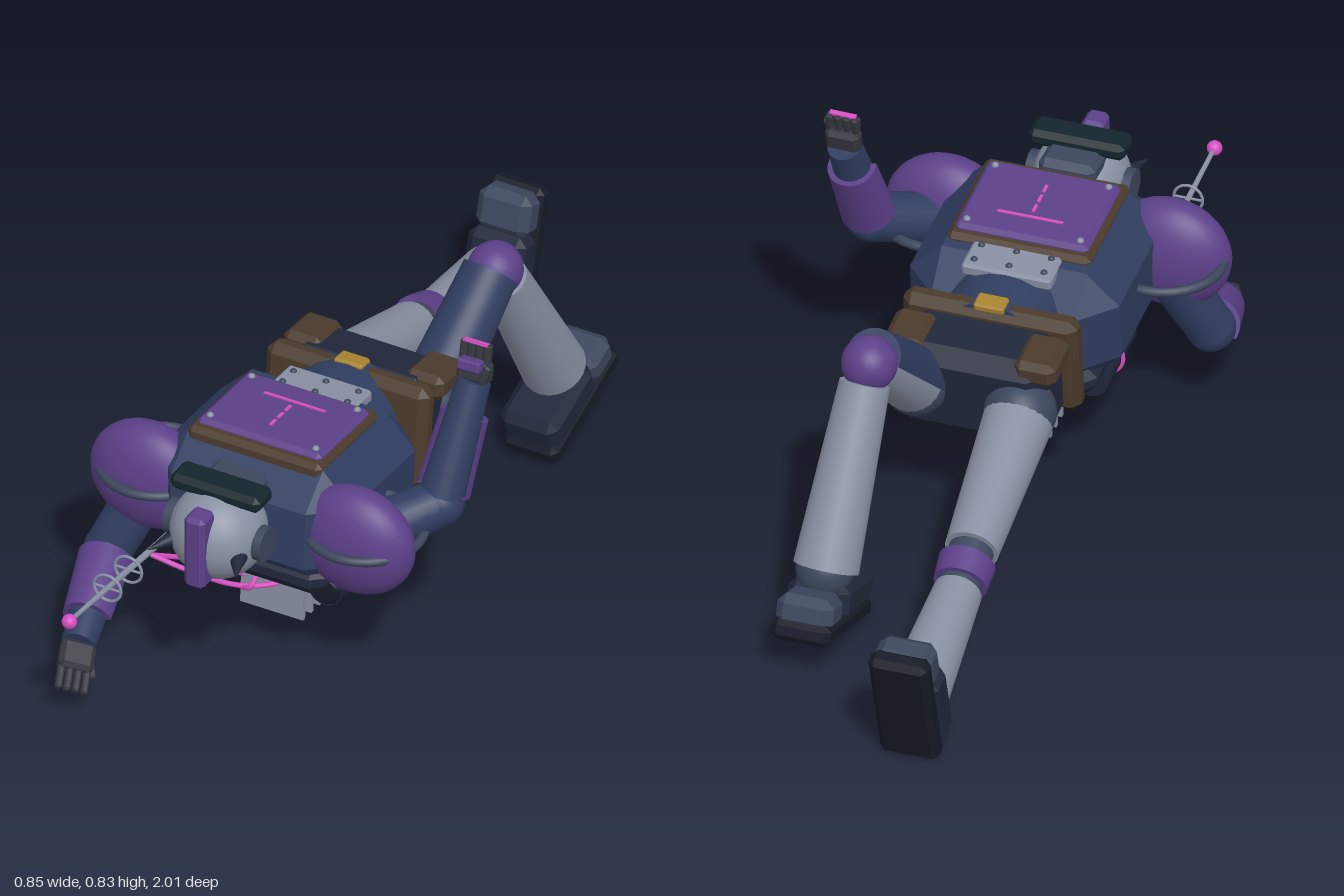
import * as THREE from 'three';
import { ConvexGeometry } from 'three/addons/geometries/ConvexGeometry.js';

const C = { navy: 0x303d60, dark: 0x20273a, black: 0x151a26, steel: 0x878fa1, slate: 0x3c465c, purple: 0x5b4088,
  pink: 0xd64fc0, brown: 0x4a3a2b, gold: 0xa8822f, hand: 0x34373f, visor: 0x14252c };
const V = (a) => new THREE.Vector3(...a);

export function createModel() {
  const root = new THREE.Group();
  const mats = {};
  const mat = (c, flat) => (mats[c + (flat ? 'f' : '')] ??= new THREE.MeshStandardMaterial({
    color: C[c], flatShading: !!flat, side: THREE.DoubleSide }));
  const group = (name, parent = root) => {
    const g = new THREE.Group();
    g.name = name;
    parent.add(g);
    return g;
  };
  const add = (name, geo, color, pos, parent = root, flat = false) => {
    const m = new THREE.Mesh(geo, mat(color, flat));
    m.name = name;
    m.position.set(...pos);
    parent.add(m);
    return m;
  };
  // Box with every edge cut at 45 degrees
  const block = (name, size, c, color, pos, parent = root, pitch = 0) => {
    const h = size.map((s) => s / 2), pts = [];
    for (const sx of [-1, 1]) for (const sy of [-1, 1]) for (const sz of [-1, 1])
      for (let a = 0; a < 3; a++) {
        const p = h.map((v, i) => (i === a ? v : v - c));
        pts.push(new THREE.Vector3(p[0] * sx, p[1] * sy, p[2] * sz));
      }
    const m = add(name, new ConvexGeometry(pts), color, pos, parent, true);
    m.rotation.x = pitch;
    return m;
  };
  // Tapered rod between two points; arc < 2 PI makes a shell that faces the hint
  const limb = (name, a, b, ra, rb, color, parent = root, hint = [0, 0, 1], arc = Math.PI * 2) => {
    const A = V(a), B = V(b), y = B.clone().sub(A), len = y.length();
    y.normalize();
    const x = new THREE.Vector3().crossVectors(y, V(hint));
    if (x.lengthSq() < 1e-4) x.crossVectors(y, new THREE.Vector3(0, 1, 0));
    x.normalize();
    const z = new THREE.Vector3().crossVectors(x, y);
    const m = add(name, new THREE.CylinderGeometry(rb, ra, len, 24, 1, false, -arc / 2, arc), color,
      A.add(B).multiplyScalar(0.5).toArray(), parent);
    m.quaternion.setFromRotationMatrix(new THREE.Matrix4().makeBasis(x, y, z));
    return m;
  };
  const ball = (name, r, color, pos, parent = root) =>
    add(name, new THREE.SphereGeometry(r, 28, 20), color, pos, parent);
  const ring = (name, r, t, color, pos, parent = root) =>
    add(name, new THREE.TorusGeometry(r, t, 8, 36), color, pos, parent);
  const tube = (name, pts, r, parent = root) =>
    add(name, new THREE.TubeGeometry(new THREE.CatmullRomCurve3(pts.map(V)), 32, r, 8), 'pink', [0, 0, 0], parent);

  // Torso, lying on its back with the head end slightly raised
  const torso = group('torso');
  torso.position.set(-0.024, 0.425, 0.34);
  torso.rotation.x = -0.09;
  block('chest', [0.48, 0.29, 0.44], 0.075, 'navy', [0, 0, 0.01], torso);
  block('chestBack', [0.4, 0.08, 0.42], 0.03, 'dark', [0, -0.115, 0], torso);
  limb('waist', [0, 0, -0.3], [0, 0, -0.17], 0.145, 0.145, 'navy', torso);
  block('chestFrame', [0.33, 0.04, 0.28], 0.012, 'brown', [0, 0.14, 0.03], torso);
  block('chestPlate', [0.305, 0.04, 0.235], 0.01, 'purple', [0, 0.153, 0.03], torso);
  for (const x of [-0.13, 0.13]) for (const z of [-0.065, 0.125])
    ball('plateRivet', 0.008, 'steel', [x, 0.173, z], torso);
  add('plateCrossLine', new THREE.BoxGeometry(0.15, 0.004, 0.007), 'pink', [0, 0.174, -0.02], torso);
  for (let i = 0; i < 3; i++)
    add('plateDash', new THREE.BoxGeometry(0.007, 0.004, 0.024), 'pink', [0, 0.174, 0.01 + i * 0.035], torso);
  block('abdomenPlate', [0.205, 0.03, 0.11], 0.006, 'steel', [0, 0.136, -0.135], torso);
  for (const x of [-0.08, 0, 0.08]) for (const z of [-0.165, -0.115])
    ball('abdomenRivet', 0.008, 'slate', [x, 0.15, z], torso);

  // Back equipment: cooling fins and a pair of pods
  const back = group('backPack');
  block('finMount', [0.3, 0.04, 0.25], 0.008, 'steel', [-0.022, 0.277, 0.33], back, -0.09);
  for (let i = 0; i < 6; i++) {
    const fin = add('coolingFin', new THREE.BoxGeometry(0.155, 0.18, 0.01), 'steel',
      [-0.024, 0.195 - i * 0.003, 0.4 - i * 0.037], back);
    fin.rotation.x = -0.06;
  }
  for (const x of [-0.176, 0.128]) {
    limb('pod', [x, 0.232, 0.255], [x, 0.243, 0.45], 0.042, 0.042, 'dark', back);
    limb('podCap', [x, 0.243, 0.45], [x, 0.243, 0.46], 0.04, 0.033, 'black', back);
    ring('podRing', 0.044, 0.006, 'pink', [x, 0.238, 0.35], back);
  }

  // Pelvis and belt
  const hips = group('hips');
  hips.position.set(-0.024, 0.4, 0);
  hips.rotation.x = -0.12;
  block('pelvis', [0.34, 0.23, 0.17], 0.035, 'dark', [0, 0, -0.03], hips);
  block('belt', [0.4, 0.25, 0.06], 0.02, 'brown', [0, 0.005, 0.062], hips);
  block('buckle', [0.07, 0.02, 0.045], 0.005, 'gold', [0, 0.132, 0.06], hips);
  for (const s of [-1, 1]) block('pouch', [0.095, 0.06, 0.12], 0.015, 'brown', [s * 0.15, 0.095, -0.045], hips);

  // Head with visor, crest, ear discs and horns
  const head = group('head');
  head.position.set(-0.024, 0.477, 0.65);
  limb('neck', [0, -0.01, -0.12], [0, 0, -0.05], 0.07, 0.07, 'slate', head);
  ball('skull', 0.108, 'steel', [0, 0, 0], head);
  block('crest', [0.05, 0.185, 0.06], 0.01, 'purple', [0, 0.008, 0.09], head);
  block('visor', [0.22, 0.04, 0.075], 0.012, 'visor', [0, 0.107, -0.01], head);
  block('faceGuard', [0.13, 0.05, 0.11], 0.015, 'slate', [0, 0.08, -0.06], head);
  for (const s of [-1, 1]) {
    limb('earDisc', [s * 0.09, 0, 0], [s * 0.12, 0, 0], 0.04, 0.04, 'slate', head);
    limb('horn', [s * 0.075, -0.012, 0.05], [s * 0.108, -0.012, 0.125], 0.022, 0.001, 'dark', head);
  }

  // Shoulder domes with hoops
  for (const s of [-1, 1]) {
    const g = group(s > 0 ? 'leftShoulder' : 'rightShoulder');
    g.position.set(-0.024 + s * 0.255, 0.44, 0.48);
    ball('shoulderDome', 1, 'purple', [0, 0, 0.015], g).scale.set(0.14, 0.132, 0.078);
    ring('shoulderHoop', 0.13, 0.011, 'slate', [0, 0.006, -0.025], g).rotation.x = Math.PI / 2;
  }

  // Arms: shoulder, elbow, wrist, fingertips
  const arm = (name, sh, el, wr, tip, shellSide) => {
    const g = group(name);
    const at = (a, b, t) => V(a).lerp(V(b), t).toArray();
    limb('upperArm', sh, el, 0.058, 0.054, 'navy', g);
    ball('elbow', 0.055, 'navy', el, g);
    limb('forearm', el, wr, 0.052, 0.038, 'navy', g);
    limb('forearmGuard', at(el, wr, 0.1), at(el, wr, 0.72), 0.061, 0.054, 'purple', g, shellSide, Math.PI * 1.15);
    const hand = group('hand', g);
    hand.position.set(...wr);
    const dir = V(tip).sub(V(wr)), len = dir.length();
    hand.quaternion.setFromUnitVectors(new THREE.Vector3(0, 1, 0), dir.normalize());
    block('palm', [0.078, len * 0.6, 0.04], 0.01, 'hand', [0, len * 0.27, 0], hand);
    for (let i = 0; i < 4; i++)
      block('finger', [0.016, len * 0.5, 0.02], 0.004, 'hand', [-0.029 + i * 0.0193, len * 0.75, 0.004], hand);
    block('thumb', [0.018, len * 0.5, 0.02], 0.004, 'hand', [0.038, len * 0.32, 0.025], hand).rotation.z = -0.3;
    return hand;
  };
  arm('rightArm', [-0.29, 0.4, 0.47], [-0.36, 0.235, 0.53], [-0.308, 0.145, 0.765], [-0.275, 0.092, 0.86], [-0.3, 1, 0]);
  const grip = arm('leftArm', [0.25, 0.44, 0.45], [0.355, 0.485, 0.345], [0.376, 0.745, 0.228], [0.374, 0.835, 0.205], [0, 0, -1]);
  block('gripBlock', [0.055, 0.026, 0.03], 0.004, 'purple', [0, 0.045, 0.026], grip);
  add('gripStrip', new THREE.BoxGeometry(0.06, 0.006, 0.012), 'pink', [0, 0.092, 0.008], grip);

  // Boot: long axis along y with toe up, sole facing -z
  const boot = (parent, pos, pitch) => {
    const g = group('boot', parent);
    g.position.set(...pos);
    g.rotation.x = pitch;
    block('bootSole', [0.135, 0.31, 0.05], 0.014, 'black', [0, 0, -0.032], g);
    block('bootUpper', [0.142, 0.2, 0.085], 0.02, 'dark', [0, -0.045, 0.018], g);
    block('toeCap', [0.13, 0.1, 0.075], 0.02, 'slate', [0, 0.098, 0.01], g);
  };

  // Straight right leg
  const rightLeg = group('rightLeg');
  ball('hipJoint', 0.08, 'slate', [-0.14, 0.375, -0.1], rightLeg);
  limb('thigh', [-0.14, 0.37, -0.1], [-0.155, 0.255, -0.47], 0.078, 0.06, 'steel', rightLeg);
  limb('kneeSleeve', [-0.155, 0.255, -0.47], [-0.16, 0.215, -0.58], 0.05, 0.05, 'slate', rightLeg);
  limb('kneeCap', [-0.157, 0.245, -0.505], [-0.16, 0.225, -0.56], 0.064, 0.06, 'purple', rightLeg);
  limb('shin', [-0.16, 0.215, -0.575], [-0.168, 0.145, -0.86], 0.054, 0.07, 'steel', rightLeg);
  limb('ankle', [-0.166, 0.15, -0.82], [-0.168, 0.14, -0.89], 0.06, 0.06, 'slate', rightLeg);
  boot(rightLeg, [-0.168, 0.173, -0.917], -0.29);

  // Bent left leg
  const leftLeg = group('leftLeg');
  ball('hipJoint', 0.075, 'slate', [0.1, 0.4, -0.1], leftLeg);
  limb('thigh', [0.1, 0.4, -0.1], [0.122, 0.588, -0.315], 0.072, 0.056, 'steel', leftLeg);
  limb('thighGuard', [0.1, 0.405, -0.1], [0.124, 0.6, -0.315], 0.076, 0.064, 'navy', leftLeg, [0, 1, 0.3], Math.PI * 1.1);
  ball('knee', 0.062, 'purple', [0.125, 0.597, -0.335], leftLeg);
  limb('shin', [0.127, 0.56, -0.36], [0.147, 0.2, -0.56], 0.056, 0.073, 'steel', leftLeg);
  ball('ankle', 0.064, 'slate', [0.148, 0.2, -0.565], leftLeg);
  boot(leftLeg, [0.147, 0.122, -0.582], -1.24);

  // Antenna and loose cables
  const antenna = group('antenna');
  limb('antennaRod', [-0.21, 0.318, 0.48], [-0.213, 0.377, 0.98], 0.009, 0.005, 'steel', antenna);
  ball('antennaTip', 0.017, 'pink', [-0.213, 0.377, 0.982], antenna);
  for (const [y, z] of [[0.357, 0.81], [0.346, 0.715]]) {
    ring('antennaRing', 0.033, 0.0035, 'steel', [-0.212, y, z], antenna);
    limb('ringSpoke', [-0.245, y, z], [-0.179, y, z], 0.003, 0.003, 'steel', antenna);
  }
  tube('longCable', [[-0.2, 0.335, 0.63], [-0.13, 0.3, 0.6], [-0.04, 0.245, 0.53], [0.03, 0.24, 0.47], [0.075, 0.268, 0.41]], 0.006);
  tube('shortCable', [[-0.2, 0.335, 0.63], [-0.15, 0.29, 0.55], [-0.06, 0.23, 0.47]], 0.006);
  tube('hookCable', [[-0.005, 0.295, 0.5], [-0.005, 0.26, 0.54], [-0.03, 0.242, 0.53]], 0.006);
  return root;
}
